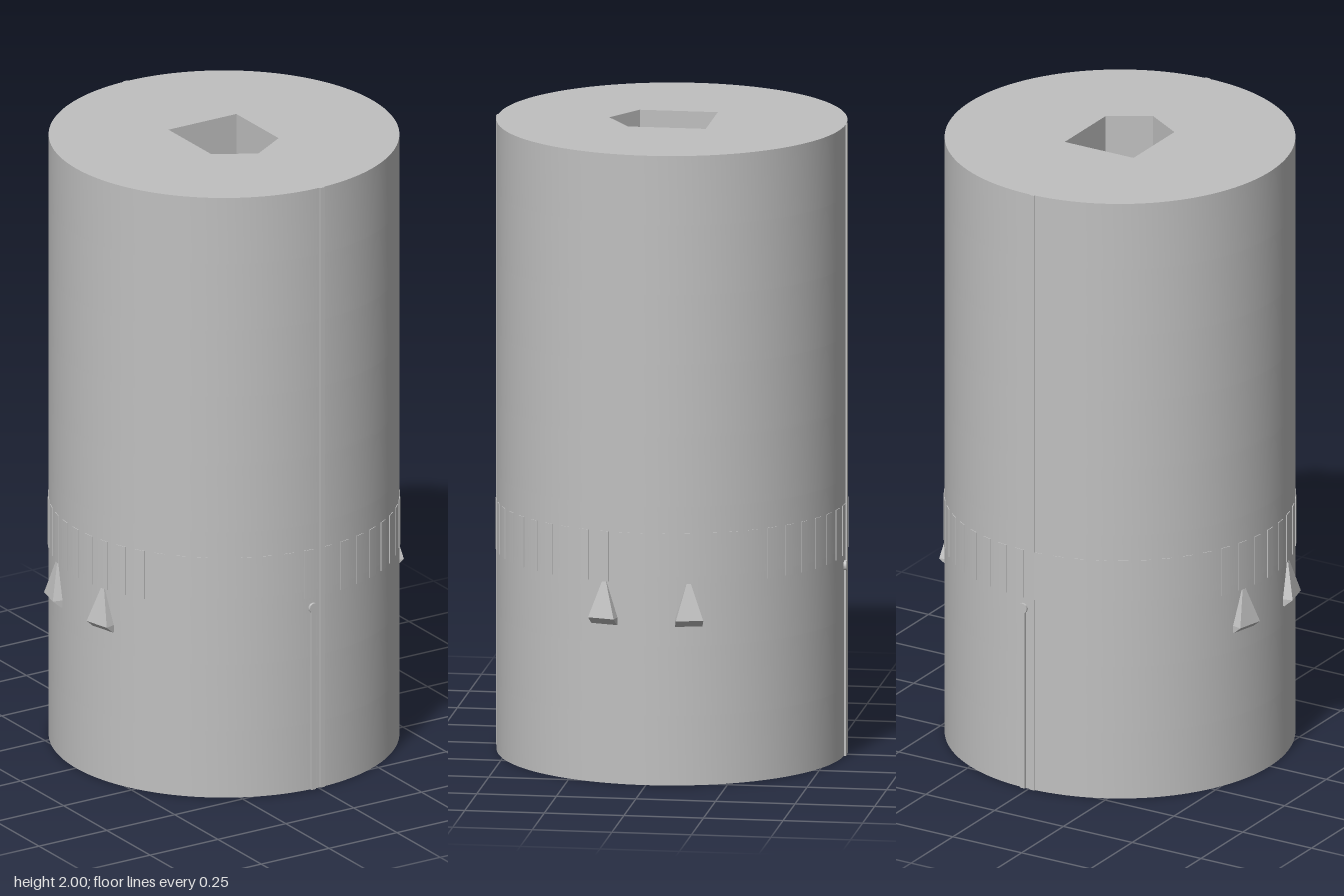
import * as THREE from 'three';
import { toCreasedNormals } from 'three/addons/utils/BufferGeometryUtils.js';

const R = 0.545;
const PLATE = 0.01;              // thin dividing disc
const RING = (2 - PLATE) / 9;    // height of one stacked ring

// Upright round slab with a hole through it, resting on y = 0
function slab(hole, height) {
  const shape = new THREE.Shape();
  shape.absarc(0, 0, R, 0, Math.PI * 2, false);
  shape.holes.push(hole);
  const geo = new THREE.ExtrudeGeometry(shape, { depth: height, bevelEnabled: false, curveSegments: 80 });
  geo.rotateX(-Math.PI / 2);
  return toCreasedNormals(geo, 0.5);
}

// Pointer wedge on the +z side: narrow at the top, widest at the lower lip
function wedgeGeometry() {
  const section = (y, w, r) => [[-w, y, r], [w, y, r], [w, y, 0.52], [-w, y, 0.52]];
  const loops = [section(0.505, 0.043, 0.548), section(0.528, 0.043, 0.575), section(0.64, 0.007, 0.549)];
  const pos = [];
  const quad = (a, b, c, d) => pos.push(...a, ...b, ...c, ...a, ...c, ...d);
  for (let k = 0; k < 2; k++) {
    for (let i = 0; i < 4; i++) {
      const j = (i + 1) % 4;
      quad(loops[k][i], loops[k][j], loops[k + 1][j], loops[k + 1][i]);
    }
  }
  quad(...[...loops[0]].reverse());
  quad(...loops[2]);
  const geo = new THREE.BufferGeometry();
  geo.setAttribute('position', new THREE.Float32BufferAttribute(pos, 3));
  geo.computeVertexNormals();
  return geo;
}

export function createModel() {
  const model = new THREE.Group();
  const grey = new THREE.MeshStandardMaterial({ color: 0xc0c0c0 });
  grey.name = 'grey';

  const add = (parent, name, geo, x = 0, y = 0, z = 0) => {
    const mesh = new THREE.Mesh(geo, grey);
    mesh.name = name;
    mesh.position.set(x, y, z);
    parent.add(mesh);
    return mesh;
  };

  // Nine stacked rings around a five-sided shaft
  const shaft = new THREE.Path([
    [-0.125, 0.125], [0.125, 0.125], [0.125, -0.12], [0, -0.197], [-0.125, -0.12],
  ].map(([x, y]) => new THREE.Vector2(x, y)));
  const ringGeo = slab(shaft, RING);
  for (let i = 0; i < 9; i++) {
    add(model, 'ring' + (i + 1), ringGeo, 0, i * RING + (i > 4 ? PLATE : 0), 0);
  }

  // Dividing disc with a small round hole
  const pinHole = new THREE.Path();
  pinHole.absarc(0, 0, 0.027, 0, Math.PI * 2, true);
  add(model, 'dividingDisc', slab(pinHole, PLATE), 0, 5 * RING, 0);

  // Ribbed grip band
  const band = new THREE.Group();
  band.name = 'gripBand';
  model.add(band);
  const RIBS = 50, step = Math.PI * 2 / RIBS;
  const ribGeo = new THREE.CylinderGeometry(R + 0.003, R + 0.003, 0.16, 2, 1, true, -step / 4, step / 2);
  const sideGeo = new THREE.BoxGeometry(0.033, 0.16, 0.02);
  for (let i = 0; i < RIBS; i++) {
    const rib = new THREE.Group();
    rib.name = 'rib';
    rib.rotation.y = (i + 0.5) * step;
    add(rib, 'ribFace', ribGeo, 0, 0.72, 0);
    add(rib, 'ribBody', sideGeo, 0, 0.72, R + 0.0024 - 0.01);
    band.add(rib);
  }

  // Index strips, front and back
  const stripGeo = new THREE.BoxGeometry(0.017, 2, 0.02);
  const markerGeo = new THREE.BoxGeometry(0.017, 0.6, 0.02);
  const dotGeo = toCreasedNormals(new THREE.CylinderGeometry(0.016, 0.016, 0.02, 20).rotateX(Math.PI / 2), 0.5);
  for (const turn of [0, Math.PI]) {
    const index = new THREE.Group();
    index.name = turn ? 'backIndex' : 'frontIndex';
    index.rotation.y = turn;
    add(index, 'indexStrip', stripGeo, 0.0135, 1, 0.539);
    add(index, 'markerStrip', markerGeo, -0.02, 0.3, 0.541);
    add(index, 'markerDot', dotGeo, -0.02, 0.605, 0.543);
    model.add(index);
  }

  // Two pointer wedges on each side
  const wedge = wedgeGeometry();
  for (const side of [1, -1]) {
    for (const tilt of [1, -1]) {
      const pointer = add(model, side > 0 ? 'leftPointer' : 'rightPointer', wedge);
      pointer.rotation.y = side * Math.PI / 2 + tilt * 0.245;
    }
  }

  return model;
}
